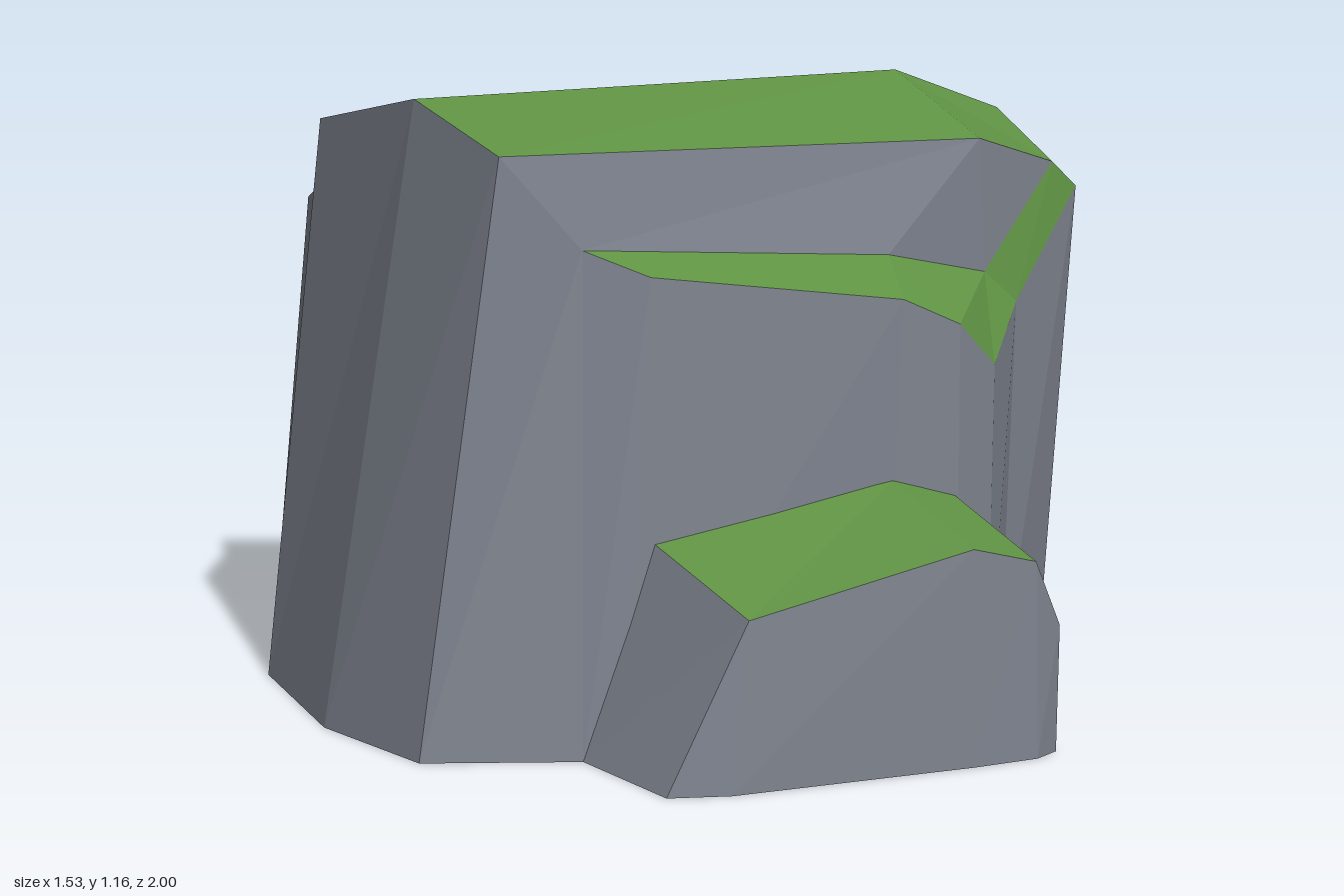
import * as THREE from 'three';

const rock = new THREE.MeshStandardMaterial({ color: 0x7f848f });
rock.name = 'rock grey';
const grass = new THREE.MeshStandardMaterial({ color: 0x5f9243 });
grass.name = 'grass green';

// Fan of triangles over a counter-clockwise polygon
const fan = (...p) => p.slice(2).flatMap((c, i) => [p[0], p[i + 1], c]);

// Quads between two rows of points; row a is below row b, both run left to right
const strip = (a, b) => a.slice(1).flatMap((_, i) => fan(a[i], a[i + 1], b[i + 1], b[i]));

// Downward-facing cover of a ring on the ground
const floor = (ring, centre) => ring.flatMap((p, i) => [centre, ring[(i + 1) % ring.length], p]);

// Faceted mesh from a list of triangle corners
function facets(name, material, corners) {
  const g = new THREE.BufferGeometry();
  g.setAttribute('position', new THREE.Float32BufferAttribute(corners.flat(), 3));
  g.computeVertexNormals();
  const mesh = new THREE.Mesh(g, material);
  mesh.name = name;
  return mesh;
}

const ground = (pairs) => pairs.map(([x, z]) => [x, 0, z]);

export function createModel() {
  const model = new THREE.Group();
  model.name = 'grassyRock';

  // Foot and upper rim of the main rock, from the left end of the front around the right side
  const foot = ground([
    [-0.77, 0.24], [-0.56, 0.44], [-0.5, 0.48], [0, 0.66], [0.13, 0.72], [0.22, 0.72], [0.38, 0.62],
    [0.57, 0.56], [0.64, 0.4], [0.71, 0.12], [0.69, -0.08], [0.66, -0.38], [0.6, -0.5], [0.37, -0.64],
    [0.02, -1], [-0.03, -1], [-0.09, -0.89], [-0.5, -0.48], [-0.71, -0.08],
  ]);
  const rim = [
    [-0.635, 1.07, 0.31], [-0.5, 0.9, 0.38], [-0.43, 0.855, 0.48], [0.03, 0.79, 0.67], [0.13, 0.74, 0.72],
    [0.23, 0.655, 0.72], [0.39, 0.75, 0.64], [0.59, 0.95, 0.62], [0.7, 0.95, 0.42], [0.76, 0.945, 0.02],
    [0.715, 0.75, -0.1], [0.67, 0.66, -0.37], [0.61, 0.73, -0.49], [0.4, 0.79, -0.58],
    [0.02, 0.855, -0.94], [0.02, 0.855, -0.94], [-0.09, 0.9, -0.78], [-0.35, 1.07, -0.48], [-0.53, 1.145, -0.02],
  ];
  model.add(facets('rockWall', rock, strip([...foot, foot[0]], [...rim, rim[0]])));
  model.add(facets('rockUnderside', rock, floor(foot, [0, 0, 0])));

  // Key points of the cap
  const peak = [0.41, 1.165, 0.32];
  const lipLeft = rim[0], lipMid = [0.3, 1.06, 0.62], lipRight = [0.53, 1.0, 0.61];
  const shoulder = [0.62, 1.085, 0.4], sideLip = [0.7, 1.005, 0.02];
  const notchTop = [0.5, 1.06, -0.13], notchEnd = [0.38, 0.86, -0.42], notchFoot = [0.64, 0.81, -0.16];
  const tip = rim[14], backLow = rim[16], backMid = rim[17], backHigh = rim[18], backRight = rim[13];

  // Grass ledge winding across the front and up to the right side
  const inMid = [0.08, 0.86, 0.59], inLow = [0.32, 0.81, 0.62], inSide = [0.65, 1.05, 0.39];
  const inner = [rim[1], rim[1], inMid, inMid, inLow, inLow, lipRight, inSide, sideLip];
  model.add(facets('grassLedge', grass, strip(rim.slice(1, 10), inner)));

  // Bare rock between the ledge and the cap
  model.add(facets('rockRecess', rock, strip(
    [rim[1], inMid, inLow, lipRight, inSide, sideLip],
    [lipLeft, lipMid, lipMid, lipRight, shoulder, sideLip])));

  // Grass cap
  model.add(facets('grassCap', grass, [
    fan(lipLeft, lipMid, peak, backHigh),
    fan(peak, lipMid, lipRight, shoulder, sideLip, notchTop),
    fan(backHigh, peak, notchTop, backMid),
    fan(backMid, notchTop, notchEnd, backLow),
    fan(backLow, notchEnd, backRight, tip),
  ].flat()));

  // Lower shelf on the right side with its steep bank
  model.add(facets('grassShelf', grass, [
    fan(notchFoot, notchEnd, notchTop, sideLip),
    fan(rim[9], rim[10], notchFoot, sideLip),
    fan(notchFoot, rim[10], rim[11], notchEnd),
    fan(notchEnd, rim[11], rim[12], backRight),
  ].flat()));

  // Small boulder against the front
  const boulderFoot = ground([
    [-0.56, 0.44], [-0.64, 0.72], [-0.55, 0.79], [-0.11, 0.96], [0.02, 1], [0.085, 0.99], [0.22, 0.72],
  ]);
  const front = [[-0.51, 0.3, 0.79], [-0.11, 0.39, 0.955], [0.02, 0.355, 0.99], [0.09, 0.23, 0.99]];
  const back = [[-0.43, 0.385, 0.48], [0.01, 0.46, 0.665], [0.125, 0.425, 0.715], [0.225, 0.305, 0.715]];
  const boulderRim = [back[0], front[0], ...front, back[3]];
  model.add(facets('boulderWall', rock, strip(boulderFoot, boulderRim)));
  model.add(facets('boulderUnderside', rock, floor(boulderFoot, [-0.2, 0, 0.75])));
  model.add(facets('boulderGrass', grass, strip(front, back)));

  return model;
}
